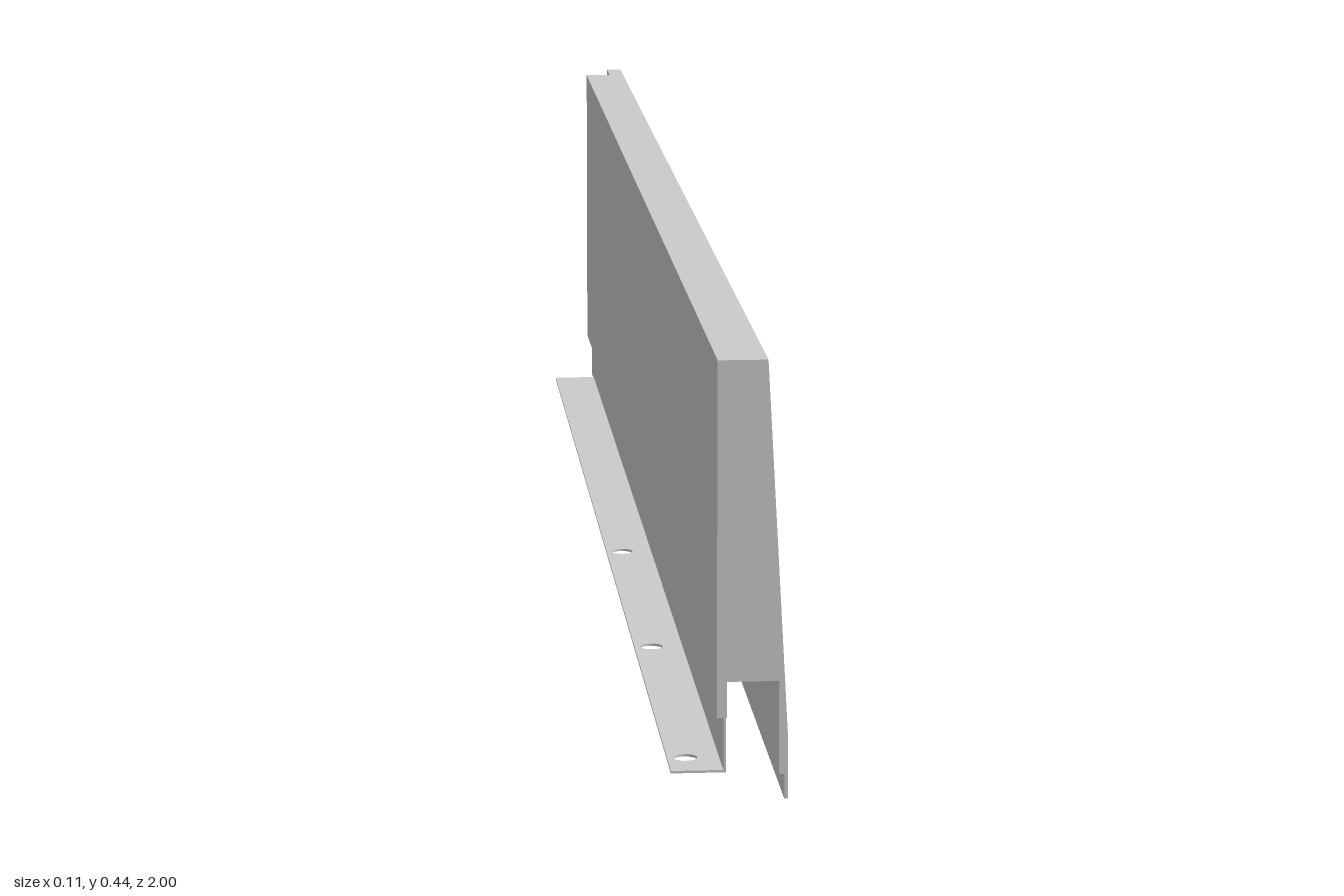
import * as THREE from 'three';

const material = new THREE.MeshStandardMaterial({ color: 0xcccccc, flatShading: true });

// Extrude an x-y cross-section between two z positions
function extrudeZ(name, points, z0, z1) {
  const shape = new THREE.Shape(points.map(([x, y]) => new THREE.Vector2(x, y)));
  const geometry = new THREE.ExtrudeGeometry(shape, { depth: z1 - z0, bevelEnabled: false });
  geometry.translate(0, 0, z0);
  const mesh = new THREE.Mesh(geometry, material);
  mesh.name = name;
  return mesh;
}

export function createModel() {
  const group = new THREE.Group();
  group.name = 'drawerSide';

  // Sloped outer wall with the drip lip at its foot
  const outer = [[0.047, 0.119], [0.047, 0.025], [0.0525, 0.025], [0.0525, 0],
    [0.056, 0], [0.056, 0.06], [0.035, 0.438]];

  // Main body, and the narrower tail left behind the rear notch
  group.add(extrudeZ('body', [[-0.014, 0.438], [-0.014, 0.083], [-0.004, 0.083],
    [-0.004, 0.119], ...outer], -0.948, 1));
  group.add(extrudeZ('rearTail', [[0.017, 0.438], [0.017, 0.119], ...outer], -1, -0.948));

  // Runner channel: web below the body, and its short rear end
  group.add(extrudeZ('channelWeb', [[-0.0065, 0.025], [-0.004, 0.025],
    [-0.004, 0.083], [-0.0065, 0.083]], -0.948, 0.99));
  group.add(extrudeZ('channelRearEnd', [[-0.0065, 0.025], [-0.004, 0.025], [-0.004, 0.119],
    [0.017, 0.119], [0.017, 0.1215], [-0.0065, 0.1215]], -0.964, -0.948));

  // Mounting flange with screw holes
  const plate = new THREE.Shape([[-0.058, -0.932], [-0.014, -0.932], [-0.004, -0.932],
    [-0.004, 0.99], [-0.058, 0.99]].map(([x, z]) => new THREE.Vector2(x, z)));
  for (const z of [0.075, 0.51, 0.943]) {
    plate.holes.push(new THREE.Path().absarc(-0.04, z, 0.012, 0, Math.PI * 2, true));
  }
  const flangeGeometry = new THREE.ExtrudeGeometry(plate,
    { depth: 0.0025, bevelEnabled: false, curveSegments: 16 });
  flangeGeometry.rotateX(Math.PI / 2).translate(0, 0.0275, 0);
  const flange = new THREE.Mesh(flangeGeometry, material);
  flange.name = 'mountingFlange';
  group.add(flange);

  return group;
}
